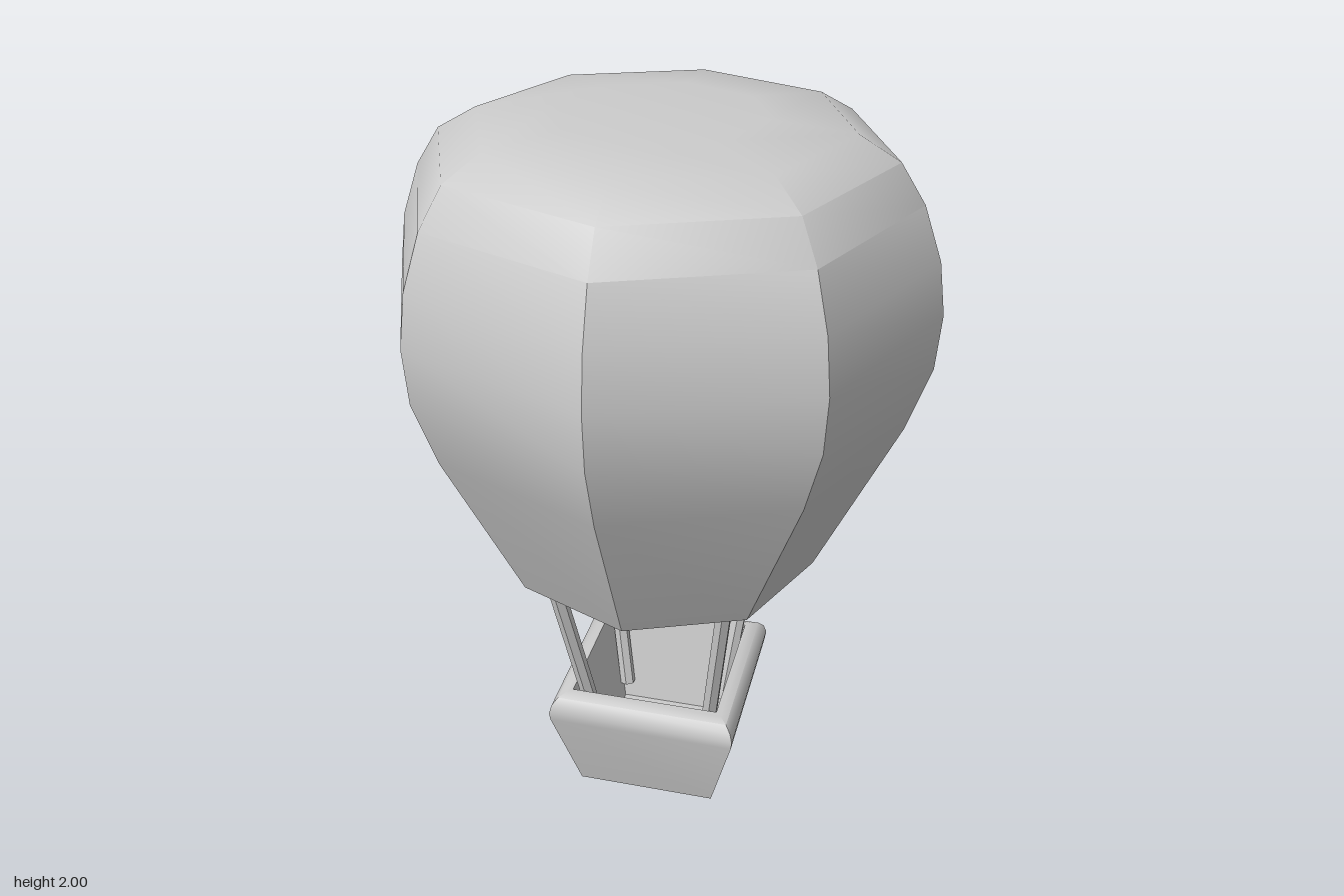
import * as THREE from 'three';
import { toCreasedNormals } from 'three/addons/utils/BufferGeometryUtils.js';

const grey = new THREE.MeshStandardMaterial({ color: 0xcccccc });
const greyFlat = new THREE.MeshStandardMaterial({ color: 0xcccccc, flatShading: true });

// Revolve a [radius, height] profile with few sides, keeping the sharp ribs creased
function facetedLathe(name, profile, sides, phiStart, crease) {
  const points = profile.map(([r, y]) => new THREE.Vector2(r, y));
  const geometry = new THREE.LatheGeometry(points, sides, phiStart);
  const mesh = new THREE.Mesh(toCreasedNormals(geometry, THREE.MathUtils.degToRad(crease)), grey);
  mesh.name = name;
  return mesh;
}

// Straight six-sided bar between two points
function bar(name, from, to, radius) {
  const dir = to.clone().sub(from);
  const mesh = new THREE.Mesh(new THREE.CylinderGeometry(radius, radius, dir.length(), 6), greyFlat);
  mesh.name = name;
  mesh.position.copy(from).add(to).multiplyScalar(0.5);
  mesh.quaternion.setFromUnitVectors(new THREE.Vector3(0, 1, 0), dir.normalize());
  return mesh;
}

export function createModel() {
  const model = new THREE.Group();
  model.name = 'hotAirBalloon';

  // Eight-sided envelope, closed underneath
  model.add(facetedLathe('envelope', [
    [0, 0.755], [0.435, 0.755], [0.65, 1.21], [0.71, 1.39], [0.72, 1.54], [0.7, 1.68],
    [0.65, 1.82], [0.585, 1.92], [0.48, 1.98], [0.27, 2], [0, 2],
  ], 8, 0, 39.5));

  // Square hollow basket with a rounded rim; half-widths become corner radii
  const basketProfile = [
    [0, 0], [0.2, 0], [0.268, 0.265], [0.271, 0.29], [0.264, 0.316], [0.249, 0.335],
    [0.229, 0.345], [0.213, 0.345], [0.16, 0.04], [0, 0.04],
  ].map(([half, y]) => [half * Math.SQRT2, y]);
  model.add(facetedLathe('basket', basketProfile, 4, Math.PI / 4, 40));

  // Four ropes from inside the basket corners up to the envelope
  const ropes = new THREE.Group();
  ropes.name = 'ropes';
  for (const sx of [1, -1]) {
    for (const sz of [1, -1]) {
      const top = new THREE.Vector3(sx > 0 ? 0.24 : -0.24, 0.76, sz > 0 ? 0.267 : -0.245);
      const bottom = new THREE.Vector3(sx > 0 ? 0.16 : -0.15, 0.1, sz > 0 ? 0.13 : -0.155);
      ropes.add(bar(`${sz > 0 ? 'front' : 'back'}${sx > 0 ? 'Left' : 'Right'}Rope`, bottom, top, 0.023));
    }
  }
  model.add(ropes);

  return model;
}
